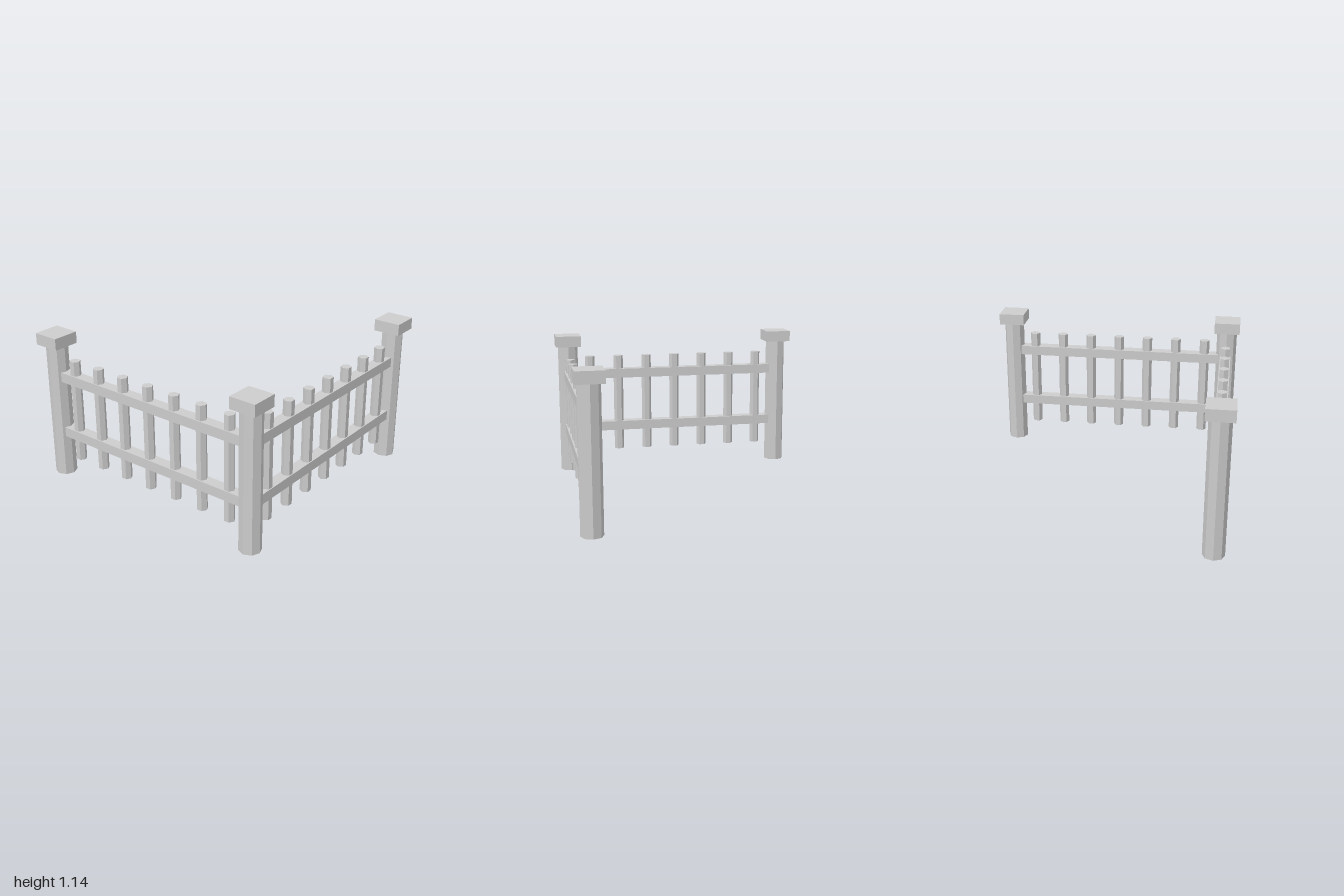
import * as THREE from 'three';

const CORNER = 0.897; // distance of posts and rails from the centre lines

export function createModel() {
  const grey = new THREE.MeshStandardMaterial({ color: 0xcccccc });
  grey.name = 'light grey';
  const model = new THREE.Group();
  model.name = 'cornerFence';

  const add = (parent, name, geometry, x, y, z) => {
    const mesh = new THREE.Mesh(geometry, grey);
    mesh.name = name;
    mesh.position.set(x, y, z);
    parent.add(mesh);
    return mesh;
  };
  // Prism with flat-shaded sides
  const prism = (radius, height, sides) =>
    new THREE.CylinderGeometry(radius, radius, height, sides).toNonIndexed();
  const faceted = (geometry) => {
    geometry.computeVertexNormals();
    return geometry;
  };

  // Octagonal posts with square caps
  const postGeo = faceted(prism(0.081, 1.06, 8));
  const capGeo = new THREE.BoxGeometry(0.205, 0.088, 0.205);
  for (const [name, x, z] of [
    ['endPostRight', -CORNER, CORNER],
    ['cornerPost', CORNER, CORNER],
    ['endPostBack', CORNER, -CORNER],
  ]) {
    const post = new THREE.Group();
    post.name = name;
    post.position.set(x, 0, z);
    add(post, 'post', postGeo, 0, 0.53, 0);
    add(post, 'postCap', capGeo, 0, 1.096, 0);
    model.add(post);
  }

  // Fence panel: two rails and seven hexagonal pickets
  const railGeo = new THREE.BoxGeometry(1.674, 0.075, 0.086);
  const picketGeo = faceted(prism(0.04, 0.8, 6).rotateY(Math.PI / 2));
  const makePanel = (name) => {
    const panel = new THREE.Group();
    panel.name = name;
    add(panel, 'lowerRail', railGeo, 0, 0.363, 0);
    add(panel, 'upperRail', railGeo, 0, 0.812, 0);
    for (let i = -3; i <= 3; i++) add(panel, 'picket', picketGeo, i * 0.239, 0.56, 0);
    model.add(panel);
    return panel;
  };
  makePanel('frontPanel').position.z = CORNER - 0.004;
  const side = makePanel('sidePanel');
  side.position.x = CORNER - 0.004;
  side.rotation.y = Math.PI / 2;

  return model;
}
